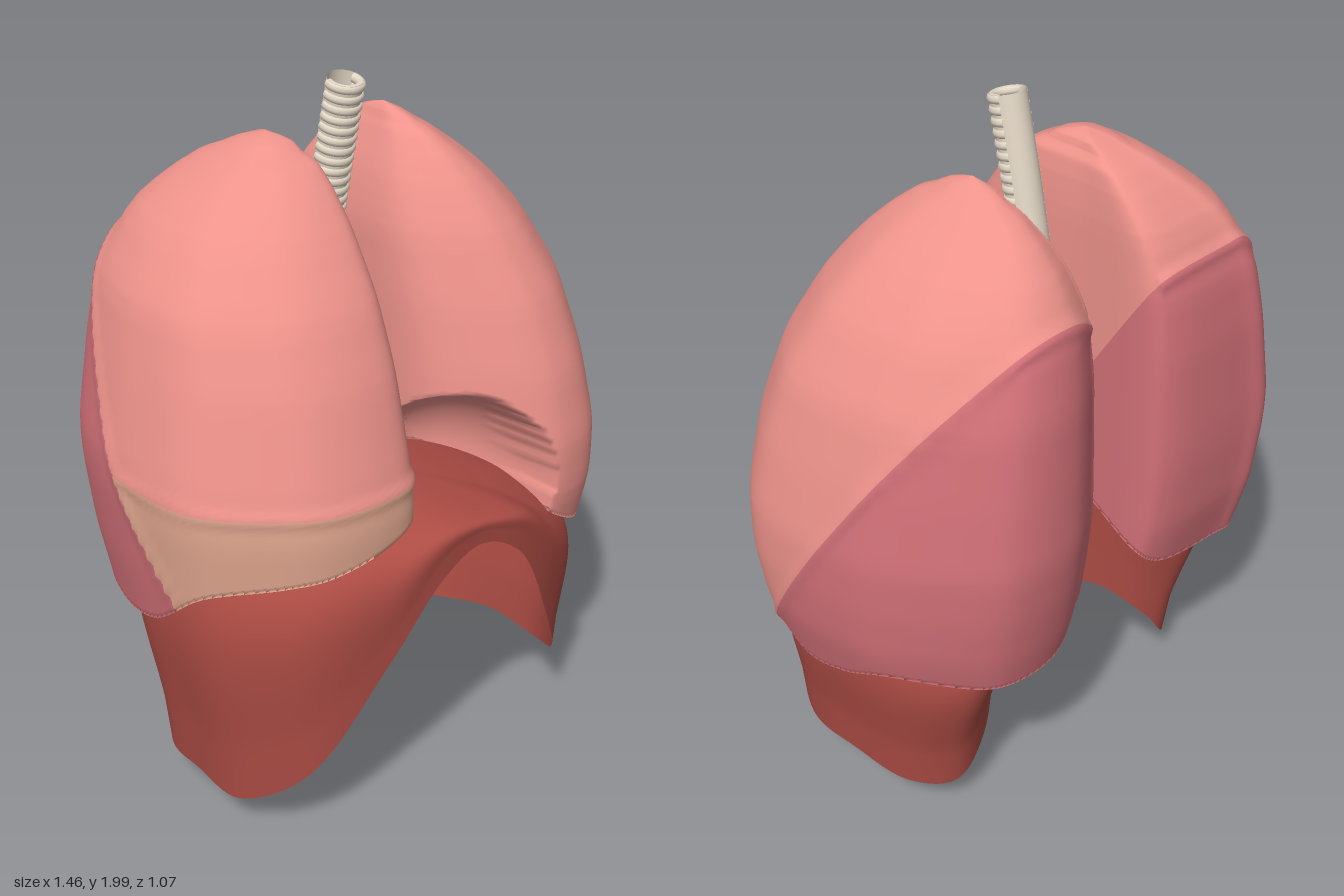
import * as THREE from 'three';

const { lerp, smoothstep } = THREE.MathUtils;
const V = (x, y, z) => new THREE.Vector3(x, y, z);
const paint = (color, side = THREE.FrontSide) => new THREE.MeshStandardMaterial({ color, side });
const pink = paint(0xee938b), rose = paint(0xd27178), tan = paint(0xe0a68e);
const muscle = paint(0xac4c44, THREE.DoubleSide), cartilage = paint(0xe4d8c6, THREE.DoubleSide);

function add(parent, name, geometry, material) {
  const mesh = new THREE.Mesh(geometry, material);
  mesh.name = name;
  parent.add(mesh);
  return mesh;
}

// Surface made of closed rings: point(i, j) for column i of cols, row j of 0..rows
function ringSurface(cols, rows, point) {
  const pos = [], index = [];
  for (let j = 0; j <= rows; j++)
    for (let i = 0; i < cols; i++) pos.push(...point(i, j));
  for (let j = 0; j < rows; j++)
    for (let i = 0; i < cols; i++) {
      const n = (i + 1) % cols;
      const a = j * cols + i, b = j * cols + n, c = a + cols, d = b + cols;
      index.push(a, b, d, a, d, c);
    }
  const g = new THREE.BufferGeometry();
  g.setAttribute('position', new THREE.Float32BufferAttribute(pos, 3));
  g.setIndex(index);
  g.computeVertexNormals();
  return g;
}

// Keeps the part of a surface in front of every plane
function clip(geometry, planes) {
  const g = geometry.toNonIndexed(), p = g.attributes.position, n = g.attributes.normal;
  const pos = [], nor = [];
  for (let t = 0; t < p.count; t += 3) {
    let poly = [0, 1, 2].map(k => ({
      p: V().fromBufferAttribute(p, t + k), n: V().fromBufferAttribute(n, t + k)
    }));
    for (const plane of planes) {
      const out = [];
      poly.forEach((a, k) => {
        const b = poly[(k + 1) % poly.length];
        const da = plane.distanceToPoint(a.p), db = plane.distanceToPoint(b.p);
        if (da >= 0) out.push(a);
        if (da * db < 0) {
          const f = da / (da - db);
          out.push({ p: a.p.clone().lerp(b.p, f), n: a.n.clone().lerp(b.n, f).normalize() });
        }
      });
      poly = out;
    }
    for (let k = 1; k + 1 < poly.length; k++)
      for (const v of [poly[0], poly[k], poly[k + 1]]) {
        pos.push(...v.p);
        nor.push(...v.n);
      }
  }
  const r = new THREE.BufferGeometry();
  r.setAttribute('position', new THREE.Float32BufferAttribute(pos, 3));
  r.setAttribute('normal', new THREE.Float32BufferAttribute(nor, 3));
  return r;
}

// Fissures: the oblique one faces forward and up, the horizontal one faces up
const oblique = new THREE.Plane().setFromNormalAndCoplanarPoint(V(0, 0.63, 0.98).normalize(), V(0, 1.6, -0.46));
const horizontal = new THREE.Plane(V(0, 1, 0), -1.07);
const flip = plane => plane.clone().negate();

// Lung from a section outline (across, rim height, depth) and extents [y, inner, outer, back, front]
function lungSurface(outline, levels, mirrored, dent, hasMiddle) {
  const curve = new THREE.CatmullRomCurve3(outline.map(o => V(...o)), true, 'centripetal');
  const cols = 108, baseRows = 12, wallRows = 116, top = levels.at(-1)[0];
  const sample = y => {
    let k = 0;
    while (k < levels.length - 2 && y > levels[k + 1][0]) k++;
    const a = levels[k], b = levels[k + 1];
    const f = Math.max(0, (y - a[0]) / (b[0] - a[0]));
    return a.map((v, m) => lerp(v, b[m], f));
  };
  const extents = y => {                      // rounds off the steps between levels
    const h = Math.min(0.04, top - y), low = sample(y - h), high = sample(y + h);
    return sample(y).map((v, m) => v / 2 + (low[m] + high[m]) / 4);
  };
  return ringSurface(cols, baseRows + wallRows, (i, j) => {
    const o = curve.getPoint((mirrored ? cols - i : i) / cols % 1);
    const s = Math.max(0, (j - baseRows) / wallRows);
    let y = lerp(o.y, top, Math.sin(s * Math.PI / 2));
    const [, inner, outer, back, front] = extents(y);
    let x = lerp(inner, outer, o.x), z = lerp(back, front, o.z);
    const cx = (inner + outer) / 2, cz = (back + front) / 2;
    if (j < baseRows) {                       // hollow base
      const q = j / baseRows;
      x = lerp(cx, x, q);
      z = lerp(cz, z, q);
      y = lerp(1.04, y, q ** 4);
    } else {                                  // raised lips along the fissures
      const d = oblique.distanceToPoint(V(x, y, z));
      let lip = Math.exp(-((d / 0.016) ** 2));
      if (hasMiddle && d > 0) lip = Math.max(lip, Math.exp(-(((y - 1.07) / 0.016) ** 2)));
      const out = V(x - cx, 0, z - cz).normalize().multiplyScalar(0.01 * lip);
      if (o.x > 0.03) { x += out.x; z += out.z; }
    }
    return dent(x, y, z);
  });
}

const leftOutline = [
  [0, 0.72, 0.1], [0, 0.85, 0.4], [0, 0.93, 0.75], [0.2, 0.9, 0.92], [0.36, 0.81, 0.99], [0.48, 0.76, 1],
  [0.65, 0.71, 0.97], [0.85, 0.69, 0.85], [0.97, 0.63, 0.74], [1, 0.54, 0.62], [0.98, 0.56, 0.45],
  [0.93, 0.62, 0.3], [0.65, 0.6, 0.05], [0.5, 0.6, 0], [0.25, 0.61, 0], [0.05, 0.64, 0.07]];
const leftLevels = [
  [0.5, 0.11, 0.65, -0.44, 0.38], [0.7, 0.09, 0.705, -0.49, 0.42], [0.85, 0.09, 0.72, -0.515, 0.45],
  [1, 0.09, 0.72, -0.53, 0.45], [1.2, 0.09, 0.685, -0.52, 0.41], [1.4, 0.09, 0.635, -0.505, 0.34],
  [1.58, 0.095, 0.54, -0.47, 0.245], [1.7, 0.12, 0.435, -0.4, 0.155], [1.8, 0.16, 0.31, -0.3, 0.05],
  [1.85, 0.18, 0.24, -0.2, -0.04], [1.87, 0.2, 0.2, -0.12, -0.12]];
const rightOutline = [
  [0, 0.72, 0.07], [0, 0.87, 0.4], [0, 0.95, 0.88], [0.08, 0.96, 0.97], [0.27, 0.93, 1],
  [0.55, 0.89, 0.97], [0.72, 0.87, 0.9], [0.95, 0.82, 0.73], [1, 0.67, 0.52], [0.98, 0.63, 0.35],
  [0.88, 0.63, 0.14], [0.7, 0.63, 0], [0.55, 0.63, 0], [0.1, 0.67, 0.02]];
const rightLevels = [
  [0.6, -0.12, -0.67, -0.45, 0.38], [0.8, -0.12, -0.7, -0.495, 0.43], [1, -0.12, -0.72, -0.51, 0.44],
  [1.1, -0.12, -0.72, -0.51, 0.425], [1.35, -0.12, -0.665, -0.5, 0.355], [1.52, -0.12, -0.62, -0.48, 0.28],
  [1.68, -0.12, -0.51, -0.415, 0.165], [1.8, -0.13, -0.35, -0.3, 0.05], [1.85, -0.15, -0.27, -0.2, -0.03],
  [1.87, -0.2, -0.2, -0.12, -0.12]];

// Hollow for the heart in the front of the left lung
function heartNotch(x, y, z) {
  const e = 1 - ((x - 0.1) / 0.23) ** 2 - ((y - 0.9) / 0.27) ** 2;
  return [x, y, e > 0 ? Math.min(z, Math.max(0.02, 0.36 - 0.36 * Math.sqrt(e))) : z];
}

// Domed sheet with a low rim at the sides, a front arch and two legs at the back
function diaphragmSurface() {
  const rim = [
    [-0.03, 0.88, 0.52], [0.12, 0.8, 0.52], [0.3, 0.5, 0.47], [0.45, 0.26, 0.37], [0.56, 0.16, 0.2],
    [0.57, 0.16, 0], [0.53, 0.13, -0.18], [0.44, 0.14, -0.28], [0.33, 0.25, -0.28], [0.17, 0.45, -0.16],
    [0.1, 0.34, -0.08], [0.06, 0.2, -0.02], [0.045, 0.45, -0.02], [-0.01, 0.58, 0.01], [-0.065, 0.45, 0.01],
    [-0.066, 0.2, 0], [-0.05, 0.02, 0.03], [-0.075, 0.02, 0.02], [-0.095, 0.2, -0.01], [-0.13, 0.34, -0.07],
    [-0.22, 0.4, -0.16], [-0.35, 0.27, -0.28], [-0.45, 0.14, -0.28], [-0.57, 0.13, -0.15],
    [-0.6, 0.15, 0.02], [-0.59, 0.14, 0.18], [-0.49, 0.27, 0.36], [-0.3, 0.6, 0.47], [-0.15, 0.82, 0.51]];
  const curve = new THREE.CatmullRomCurve3(rim.map(r => V(...r)), true, 'centripetal');
  const cols = 290, rows = 36;
  return ringSurface(cols, rows, (i, j) => {
    const r = curve.getPoint(i / cols), a = (1 - j / rows) * Math.PI / 2;
    const side = Math.min(1, Math.abs(r.x) / 0.5), wave = Math.sin(2 * a), f = Math.sin(a) ** 0.85;
    const bulgeX = 0.08 + 0.14 * side;
    const bulgeZ = 0.08 + 0.12 * side + 0.24 * smoothstep(-r.z, 0.05, 0.28);
    const drop = 0.3 + 0.28 * smoothstep(Math.abs(r.x), 0.1, 0.3);   // steeper fall at the legs
    const x = lerp(-0.02, r.x, f * (1 + bulgeX * wave));
    const z = lerp(0.22, r.z, f * (1 + bulgeZ * wave));
    return [x, lerp(r.y, 0.965 - 0.15 * x, Math.max(0, Math.cos(a)) ** drop), z];
  });
}

// Airway pipe with C-shaped rings that leave the back smooth
function airway(parent, name, points, radius, count) {
  const group = new THREE.Group();
  group.name = name;
  parent.add(group);
  const curve = new THREE.CatmullRomCurve3(points.map(p => V(...p)));
  add(group, 'wall', new THREE.TubeGeometry(curve, 24, radius, 20), cartilage);
  const arc = Math.PI * 1.2;
  const shape = new THREE.TorusGeometry(radius - 0.006, 0.013, 8, 24, arc);
  shape.rotateZ(-Math.PI / 2 - arc / 2);      // centre the arc on local -y
  for (let k = 0; k < count; k++) {
    const t = (k + 0.4) / count, axis = curve.getTangentAt(t);
    const front = V(0, 0, 1).addScaledVector(axis, -axis.z).normalize();
    const up = front.clone().negate();
    const ring = add(group, 'ring', shape, cartilage);
    ring.quaternion.setFromRotationMatrix(new THREE.Matrix4().makeBasis(up.clone().cross(axis), up, axis));
    ring.position.copy(curve.getPointAt(t));
  }
}

function strand(parent, name, points, radius, material) {
  const curve = new THREE.CatmullRomCurve3(points.map(p => V(...p)));
  add(parent, name, new THREE.TubeGeometry(curve, 16, radius, 8), material);
}

export function createModel() {
  const model = new THREE.Group();

  // Lungs, split into lobes
  const left = lungSurface(leftOutline, leftLevels, false, heartNotch, false);
  add(model, 'leftUpperLobe', clip(left, [oblique]), pink);
  add(model, 'leftLowerLobe', clip(left, [flip(oblique)]), rose);
  const right = lungSurface(rightOutline, rightLevels, true, (...p) => p, true);
  add(model, 'rightUpperLobe', clip(right, [oblique, horizontal]), pink);
  add(model, 'rightMiddleLobe', clip(right, [oblique, flip(horizontal)]), tan);
  add(model, 'rightLowerLobe', clip(right, [flip(oblique)]), rose);

  add(model, 'diaphragm', diaphragmSurface(), muscle);

  // Windpipe and its branches
  airway(model, 'trachea', [[-0.02, 1.99, -0.02], [-0.02, 1.75, -0.075], [-0.02, 1.48, -0.13]], 0.048, 18);
  airway(model, 'rightBronchus', [[-0.02, 1.5, -0.13], [-0.07, 1.44, -0.15], [-0.14, 1.35, -0.17]], 0.034, 8);
  airway(model, 'leftBronchus', [[-0.02, 1.5, -0.13], [0.04, 1.45, -0.15], [0.13, 1.38, -0.18]], 0.034, 8);
  strand(model, 'smallBronchus', [[-0.14, 1.19, -0.08], [-0.1, 1.12, -0.06], [-0.08, 1.04, -0.05]], 0.006, cartilage);
  strand(model, 'smallBronchus', [[-0.14, 1.1, -0.08], [-0.1, 1.12, -0.06], [-0.06, 1.06, -0.04]], 0.005, cartilage);

  // Slim muscle strands behind the opening
  for (const [x, low] of [[0.015, 0.43], [0.035, 0.72], [0.06, 0.5]])
    strand(model, 'muscleStrand', [[x, 0.9, 0.05], [x + 0.01, 0.75, 0.01], [x, low, -0.01]], 0.004, muscle);
  return model;
}
